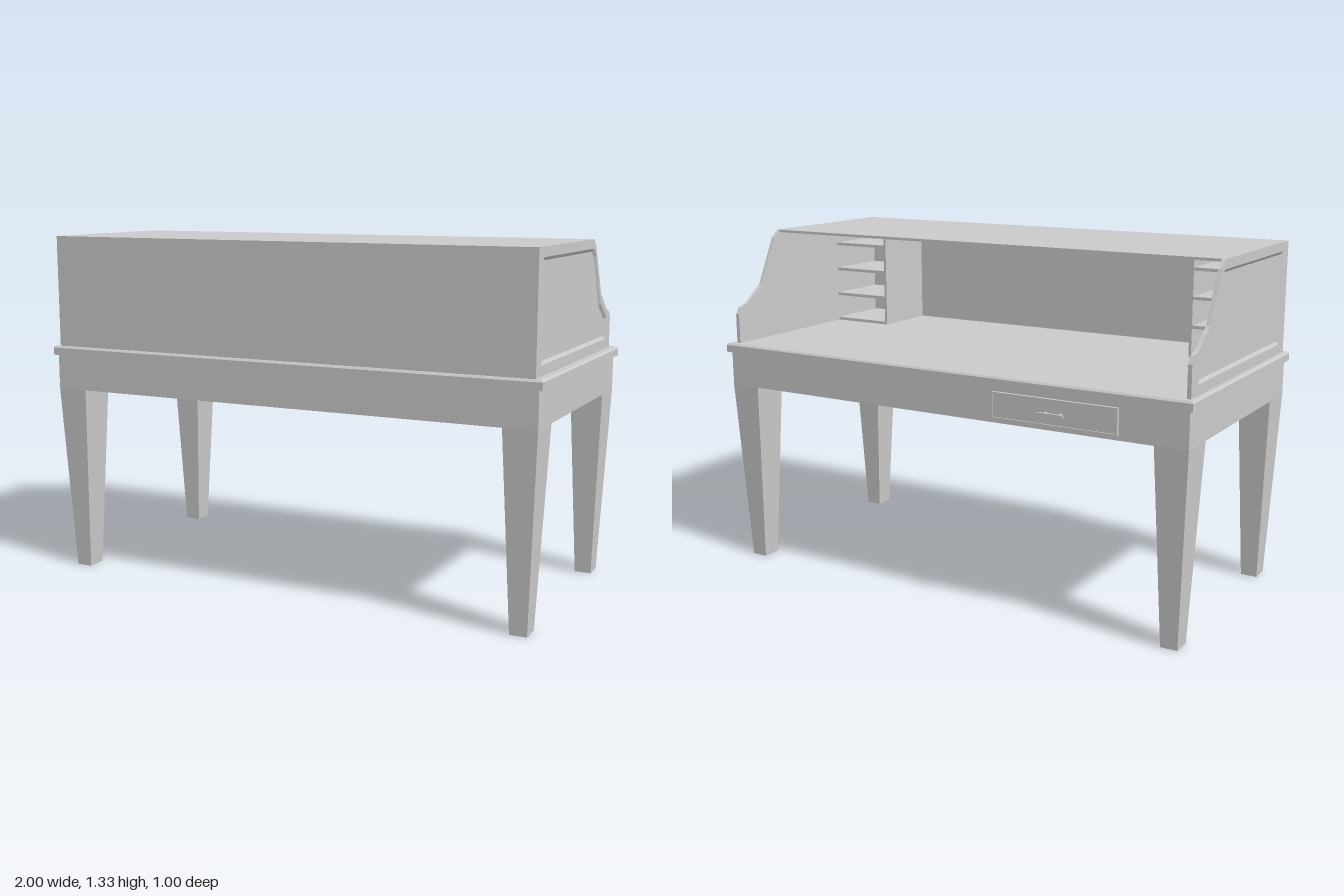
import * as THREE from 'three';

const material = new THREE.MeshStandardMaterial({ color: 0xcccccc, flatShading: true, side: THREE.DoubleSide });

function add(parent, name, geometry) {
  const mesh = new THREE.Mesh(geometry, material);
  mesh.name = name;
  parent.add(mesh);
  return mesh;
}

// Box given by its lower and upper limits on each axis
function block(parent, name, [x0, x1], [y0, y1], [z0, z1]) {
  const mesh = add(parent, name, new THREE.BoxGeometry(x1 - x0, y1 - y0, z1 - z0));
  mesh.position.set((x0 + x1) / 2, (y0 + y1) / 2, (z0 + z1) / 2);
  return mesh;
}

// Shape from [z, y] points, extruded along +x from x0
const toShape = (pts) => new THREE.Shape(pts.map(([z, y]) => new THREE.Vector2(-z, y)));
function extrudeX(shape, x0, depth) {
  return new THREE.ExtrudeGeometry(shape, { depth, bevelEnabled: false }).rotateY(Math.PI / 2).translate(x0, 0, 0);
}

// Band of quads joining two closed [z, y] loops at two x positions
function bevelBand(outer, xo, inner, xi) {
  const pos = [], n = outer.length;
  for (let i = 0; i < n; i++) {
    const j = (i + 1) % n;
    const a = [xo, outer[i][1], outer[i][0]], b = [xo, outer[j][1], outer[j][0]];
    const c = [xi, inner[j][1], inner[j][0]], d = [xi, inner[i][1], inner[i][0]];
    pos.push(...a, ...b, ...c, ...a, ...c, ...d);
  }
  const geo = new THREE.BufferGeometry();
  geo.setAttribute('position', new THREE.Float32BufferAttribute(pos, 3));
  geo.computeVertexNormals();
  return geo;
}

// Curved end panel of the hutch with a recessed field, on the +x side
function endPanel() {
  const group = new THREE.Group();
  group.name = 'hutchEndPanel';
  const outline = [[0.484, 0.9], [0.484, 1.33], [-0.178, 1.33], [-0.212, 1.3], [-0.302, 1.12],
    [-0.388, 1.055], [-0.43, 1.042], [-0.447, 1.015], [-0.447, 0.9]];
  const fieldOuter = [[0.43, 0.938], [0.43, 1.295], [-0.182, 1.295], [-0.213, 1.268],
    [-0.302, 1.082], [-0.39, 1.022], [-0.39, 0.938]];
  const fieldInner = [[0.418, 0.95], [0.418, 1.284], [-0.176, 1.284], [-0.203, 1.262],
    [-0.293, 1.074], [-0.379, 1.015], [-0.379, 0.95]];
  add(group, 'endBoard', extrudeX(toShape(outline), 0.96, 0.007));
  const frame = toShape(outline);
  frame.holes.push(toShape(fieldOuter));
  add(group, 'endFrame', extrudeX(frame, 0.967, 0.008));
  add(group, 'fieldBevel', bevelBand(fieldOuter, 0.975, fieldInner, 0.9672));
  return group;
}

// Pigeonhole unit at the +x end of the hutch
function cubby() {
  const group = new THREE.Group();
  group.name = 'pigeonholes';
  block(group, 'cubbySide', [0.7, 0.71], [0.9, 1.32], [0.2, 0.474]);
  for (let i = 0; i < 4; i++) {
    const y = 0.9 + i * 0.11;
    block(group, 'cubbyShelf', [0.71, 0.96], [y, y + 0.012], [0.2, 0.474]);
  }
  return group;
}

export function createModel() {
  const model = new THREE.Group();
  model.name = 'desk';

  // Table top with a small chamfer around the upper edge
  block(model, 'tableTop', [-1, 1], [0.865, 0.893], [-0.477, 0.503]);
  const cap = block(model, 'tableTopChamfer', [-1, 1], [0.893, 0.9], [-0.477, 0.503]);
  const p = cap.geometry.attributes.position;
  for (let i = 0; i < p.count; i++) {
    if (p.getY(i) > 0) {
      p.setX(i, p.getX(i) - Math.sign(p.getX(i)) * 0.006);
      p.setZ(i, p.getZ(i) - Math.sign(p.getZ(i)) * 0.006);
    }
  }
  cap.geometry.computeVertexNormals();

  // Apron: solid upper part, and a lower rim around a shallow recess
  block(model, 'apron', [-0.985, 0.985], [0.76, 0.865], [-0.463, 0.492]);
  for (const s of [-1, 1]) {
    const xs = [0.86 * s, 0.985 * s].sort((a, b) => a - b);
    block(model, 'apronEndRim', xs, [0.73, 0.76], [-0.463, 0.492]);
  }
  block(model, 'apronFrontRim', [-0.86, 0.86], [0.73, 0.76], [0.344, 0.492]);
  block(model, 'apronBackRim', [-0.86, 0.86], [0.73, 0.76], [-0.463, -0.315]);

  // Tapered legs, open at the foot
  const legGeo = new THREE.CylinderGeometry(Math.SQRT2, Math.SQRT2 * 0.515, 0.73, 4, 1, true)
    .rotateY(Math.PI / 4).scale(0.0625, 1, 0.074);
  for (const x of [-0.9225, 0.9225]) {
    for (const z of [-0.389, 0.418]) add(model, 'leg', legGeo).position.set(x, 0.365, z);
  }

  // Hutch: mirrored end panels and pigeonholes, wall and roof
  const hutch = new THREE.Group();
  hutch.name = 'hutch';
  hutch.position.x = -0.005;
  for (const s of [1, -1]) {
    for (const part of [endPanel(), cubby()]) {
      part.scale.x = s;
      hutch.add(part);
    }
  }
  block(hutch, 'hutchWall', [-0.96, 0.96], [0.9, 1.32], [0.474, 0.484]);
  block(hutch, 'hutchRoof', [-0.96, 0.96], [1.32, 1.33], [-0.18, 0.484]);
  model.add(hutch);

  // Drawer front with a raised rim
  const drawer = new THREE.Group();
  drawer.name = 'drawer';
  block(drawer, 'drawerFront', [-0.73, -0.235], [0.747, 0.845], [-0.47, -0.46]);
  for (const y of [0.747, 0.839]) block(drawer, 'drawerRim', [-0.73, -0.235], [y, y + 0.006], [-0.475, -0.47]);
  for (const x of [-0.73, -0.241]) block(drawer, 'drawerRim', [x, x + 0.006], [0.753, 0.839], [-0.475, -0.47]);

  // Pull handle on two posts
  block(drawer, 'handleBar', [-0.535, -0.435], [0.789, 0.8], [-0.502, -0.493]);
  for (const x of [-0.515, -0.455]) {
    const post = add(drawer, 'handlePost', new THREE.CylinderGeometry(0.004, 0.004, 0.026, 8).rotateX(Math.PI / 2));
    post.position.set(x, 0.7945, -0.482);
  }
  model.add(drawer);
  return model;
}
